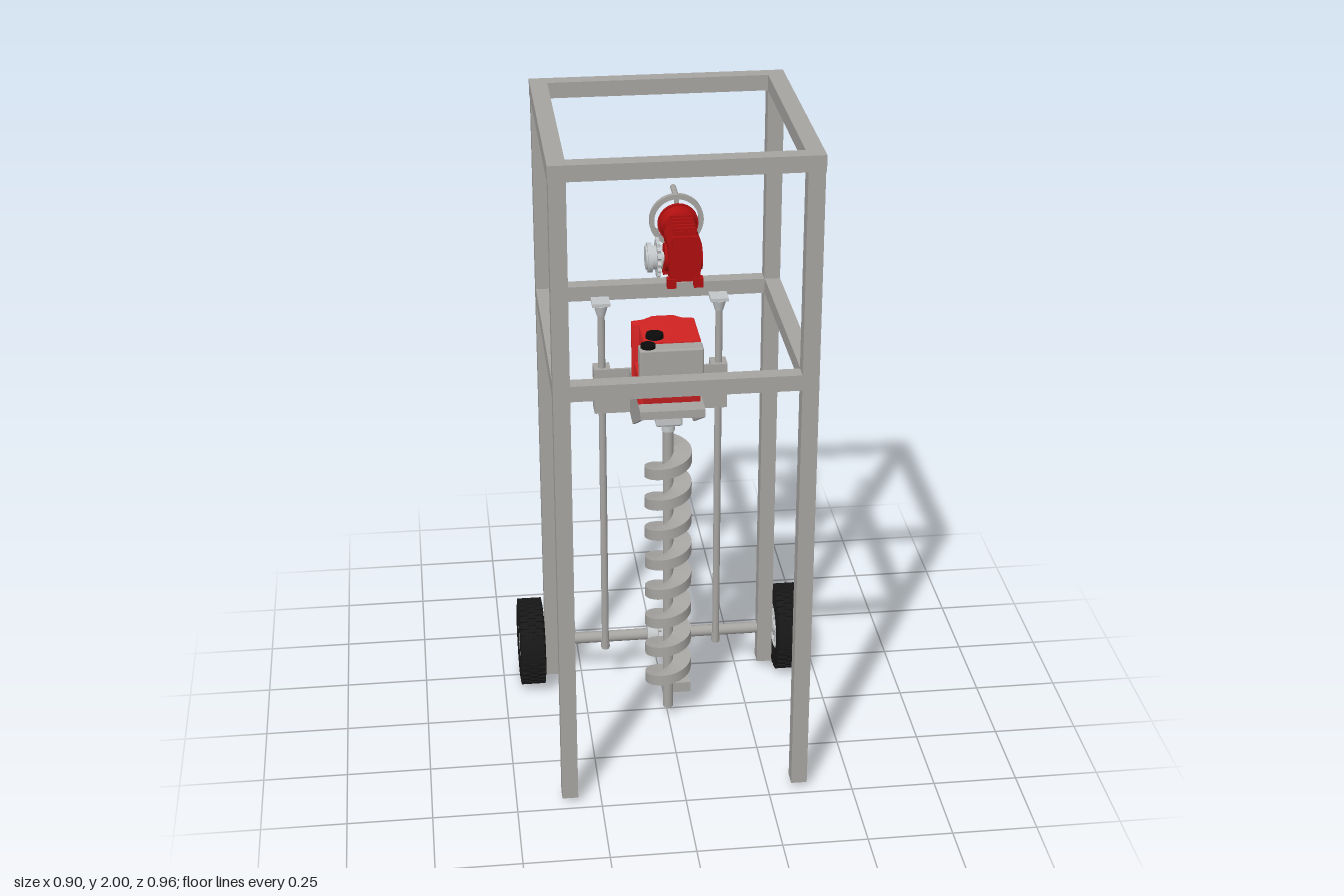
import * as THREE from 'three';
import { toCreasedNormals } from 'three/addons/utils/BufferGeometryUtils.js';
import { RoundedBoxGeometry } from 'three/addons/geometries/RoundedBoxGeometry.js';

const mat = (name, color, side = THREE.FrontSide) => {
  const m = new THREE.MeshStandardMaterial({ color, side });
  m.name = name;
  return m;
};

export function createModel() {
  const steel = mat('steel', 0xa6a4a1);
  const silver = mat('silver', 0xc3c6c8);
  const red = mat('engineRed', 0xd02222);
  const darkRed = mat('gearboxRed', 0xae0f0f);
  const rubber = mat('rubber', 0x171717);
  const black = mat('capBlack', 0x0b0b0b);
  const root = new THREE.Group();
  root.name = 'augerRig';

  const add = (name, geo, m, x = 0, y = 0, z = 0, parent = root) => {
    const mesh = new THREE.Mesh(geo, m);
    mesh.name = name;
    mesh.position.set(x, y, z);
    parent.add(mesh);
    return mesh;
  };
  // box given by its lower and upper corners
  const span = (name, m, a, b, parent = root) => add(name,
    new THREE.BoxGeometry(b[0] - a[0], b[1] - a[1], b[2] - a[2]), m,
    (a[0] + b[0]) / 2, (a[1] + b[1]) / 2, (a[2] + b[2]) / 2, parent);
  // cylinder along a chosen axis
  const rod = (name, m, axis, r, len, x, y, z, parent = root, r2 = r, seg = 24) => {
    const g = new THREE.CylinderGeometry(r2, r, len, seg);
    if (axis === 'x') g.rotateZ(-Math.PI / 2);
    if (axis === 'z') g.rotateX(Math.PI / 2);
    return add(name, g, m, x, y, z, parent);
  };
  const poly = (pts) => new THREE.Shape(pts.map(([x, y]) => new THREE.Vector2(x, y)));
  const group = (name, x = 0, y = 0, z = 0) => {
    const g = new THREE.Group();
    g.name = name;
    g.position.set(x, y, z);
    root.add(g);
    return g;
  };

  // Frame: hollow legs and two rings of beams
  const frame = group('frame');
  const square = (h) => [[-h, -h], [h, -h], [h, h], [-h, h]];
  const legShape = poly(square(0.0235));
  legShape.holes.push(poly(square(0.019).reverse()));
  const legGeo = new THREE.ExtrudeGeometry(legShape, { depth: 1.935, bevelEnabled: false }).rotateX(-Math.PI / 2);
  for (const x of [-0.3425, 0.3425])
    for (const z of [-0.2315, 0.4525]) add('leg', legGeo, steel, x, 0.02, z, frame);
  for (const z of [-0.255, 0.43]) {
    span('topCrossBeam', steel, [-0.368, 1.954, z], [0.368, 2, z + 0.046], frame);
    span('middleCrossBeam', steel, [-0.319, 1.32, z], [0.319, 1.366, z + 0.046], frame);
  }
  for (const x of [-0.343, 0.343]) {
    span('topSideBeam', steel, [x - 0.025, 1.954, -0.209], [x + 0.025, 2, 0.43], frame);
    span('middleSideBeam', steel, [x - 0.023, 1.32, -0.208], [x + 0.023, 1.366, 0.43], frame);
    // push handle behind the leg
    for (const y of [1.326, 1.494]) span('handleArm', steel, [x - 0.007, y - 0.006, -0.343], [x + 0.007, y + 0.006, -0.254], frame);
    span('handleGrip', steel, [x - 0.007, 1.32, -0.355], [x + 0.007, 1.5, -0.343], frame);
  }

  // Toothed sprocket with a hub, axis along x
  const sprocket = (name, y, z, r) => {
    const g = group(name, 0, y, z);
    const pts = [];
    for (let i = 0; i < 64; i++) {
      const a = (i / 64) * Math.PI * 2, q = r * (i % 4 < 2 ? 1 : 0.86);
      pts.push([Math.cos(a) * q, Math.sin(a) * q]);
    }
    const geo = new THREE.ExtrudeGeometry(poly(pts), { depth: 0.01, bevelEnabled: false });
    add('teeth', geo.translate(0, 0, -0.005).rotateY(Math.PI / 2), silver, 0, 0, 0, g);
    rod('hub', silver, 'x', r * 0.6, 0.05, -0.012, 0, 0, g);
    return g;
  };

  // Axle and wheels
  rod('axle', steel, 'x', 0.018, 0.74, 0, 0.137, -0.23);
  sprocket('axleSprocket', 0.137, -0.23, 0.06);
  const tyreGeo = toCreasedNormals(new THREE.LatheGeometry([
    [0.07, -0.033], [0.085, -0.04], [0.118, -0.04], [0.129, -0.034], [0.132, -0.02],
    [0.132, 0.02], [0.129, 0.034], [0.118, 0.04], [0.085, 0.04], [0.07, 0.033], [0.07, -0.033],
  ].map(([r, y]) => new THREE.Vector2(r, y)), 48).rotateZ(-Math.PI / 2), 0.6);
  const treadGeo = new THREE.BoxGeometry(0.025, 0.012, 0.011);
  for (const s of [-1, 1]) {
    const w = group(s > 0 ? 'leftWheel' : 'rightWheel', s * 0.41, 0.137, -0.23);
    add('tyre', tyreGeo, rubber, 0, 0, 0, w);
    for (let i = 0; i < 36; i++)
      for (let row = 0; row < 3; row++) {
        const a = ((i + (row % 2) / 2) / 36) * Math.PI * 2;
        const t = add('tread', treadGeo, rubber, (row - 1) * 0.025, Math.cos(a) * 0.131, Math.sin(a) * 0.131, w);
        t.rotation.x = a;
      }
    rod('rimDish', steel, 'x', 0.07, 0.04, 0, 0, 0, w, 0.07, 40);
    rod('hub', silver, 'x', 0.02, 0.076, 0, 0, 0, w);
    for (const side of [-1, 1]) {
      const ring = add('rimRing', new THREE.TorusGeometry(0.067, 0.006, 8, 40), silver, side * 0.03, 0, 0, w);
      ring.rotation.y = Math.PI / 2;
      for (let i = 0; i < 12; i++) {
        const a = (i / 12) * Math.PI * 2;
        const sp = add('spoke', new THREE.BoxGeometry(0.012, 0.05, 0.009), silver,
          side * 0.026, Math.cos(a) * 0.042, Math.sin(a) * 0.042, w);
        sp.rotation.x = a + 0.25;
      }
    }
  }

  // Guide rods with end brackets and sliding clamps
  for (const x of [-0.177, 0.177]) {
    rod('guideRod', steel, 'y', 0.011, 1.19, x, 0.727, -0.168);
    rod('rodFoot', steel, 'y', 0.014, 0.03, x, 0.15, -0.172);
    span('rodBracket', silver, [x - 0.027, 1.322, -0.212], [x + 0.027, 1.332, -0.152]);
    rod('rodSocket', silver, 'y', 0.012, 0.035, x, 1.305, -0.17, root, 0.022);
    for (const y of [0.975, 1.075])
      span('clamp', steel, [x - 0.025, y, -0.2], [x + 0.025, y + 0.045, -0.148]);
  }

  // Carriage: cross plates, top plate and tapered side gussets
  const carriage = group('carriage');
  for (const y of [0.975, 1.075])
    span('crossPlate', steel, [-0.2, y, -0.155], [0.2, y + 0.045, -0.147], carriage);
  const deck = poly([[-0.095, -0.155], [0.095, -0.155], [0.095, 0.15], [0.055, 0.15],
    [0.055, 0.1], [-0.055, 0.1], [-0.055, 0.15], [-0.095, 0.15]]);
  add('deck', new THREE.ExtrudeGeometry(deck, { depth: 0.012, bevelEnabled: false }).rotateX(-Math.PI / 2),
    steel, 0, 1.108, 0, carriage);
  span('deckLip', steel, [-0.095, 1.095, 0.147], [0.095, 1.11, 0.155], carriage);
  const gusset = poly([[-0.155, 1.095], [0.065, 0.975], [0.15, 0.975], [0.15, 1.115], [-0.155, 1.115]]);
  const gussetGeo = new THREE.ExtrudeGeometry(gusset, { depth: 0.008, bevelEnabled: false }).rotateY(Math.PI / 2);
  for (const x of [-0.095, 0.087]) add('gusset', gussetGeo, steel, x, 0, 0, carriage);

  // Engine: red cover narrowing downward, side tank and caps
  const engine = group('engine');
  const coverShape = poly([[-0.1, 0.05], [-0.1, 0.028], [-0.08, 0.018], [-0.08, -0.11], [0.087, -0.11],
    [0.087, 0.052], [0.052, 0.06], [0.028, 0.08], [-0.035, 0.08], [-0.065, 0.057]]);
  const cover = new THREE.ExtrudeGeometry(coverShape, {
    depth: 0.192, bevelThickness: 0.004, bevelSize: 0.003, bevelOffset: -0.003, bevelSegments: 2,
  }).rotateX(-Math.PI / 2).translate(0, 1.124, 0);
  const p = cover.attributes.position;
  for (let i = 0; i < p.count; i++) {
    const k = (1.32 - p.getY(i)) / 0.2, z = p.getZ(i);
    p.setZ(i, z < 0 ? z * (1 - 0.4 * k) : z * (1 - 0.06 * k));
  }
  add('engineCover', toCreasedNormals(cover, 0.5), red, 0, 0, 0, engine);
  span('engineBase', red, [-0.095, 1.12, 0], [0.085, 1.21, 0.1], engine);
  add('sideTank', new RoundedBoxGeometry(0.185, 0.108, 0.05, 2, 0.006), steel, -0.004, 1.265, 0.141, engine);
  rod('fuelCap', black, 'y', 0.027, 0.014, -0.044, 1.325, 0.074, engine, 0.025);
  rod('tankCap', black, 'y', 0.022, 0.012, -0.07, 1.323, 0.14, engine, 0.021);

  // Drive coupling and auger
  const auger = group('auger', 0, 0, 0.035);
  rod('couplingFlange', silver, 'y', 0.05, 0.02, 0, 1.098, 0, auger);
  add('coupling', new RoundedBoxGeometry(0.08, 0.065, 0.07, 2, 0.008), silver, 0, 1.058, 0, auger);
  rod('collar', silver, 'y', 0.02, 0.03, 0, 1.015, 0, auger);
  rod('shaft', steel, 'y', 0.016, 0.99, 0, 0.53, 0, auger);
  const turns = 8.25, steps = 264, pos = [], idx = [];
  const section = [[0.012, -0.017], [0.071, -0.017], [0.071, 0.017], [0.012, 0.017]];
  for (let i = 0; i <= steps; i++) {
    const a = (i / steps) * turns * Math.PI * 2, h = 0.097 + (i / steps) * 0.845;
    for (const [r, y] of section) pos.push(Math.cos(a) * r, h + y, -Math.sin(a) * r);
    if (i < steps)
      for (let j = 0; j < 4; j++) {
        const b = i * 4 + j, c = i * 4 + ((j + 1) % 4);
        idx.push(b, b + 4, c, c, b + 4, c + 4);
      }
  }
  const e = steps * 4;
  idx.push(0, 1, 2, 0, 2, 3, e, e + 2, e + 1, e, e + 3, e + 2);
  const flight = new THREE.BufferGeometry();
  flight.setAttribute('position', new THREE.Float32BufferAttribute(pos, 3));
  flight.setIndex(idx);
  const flightMat = mat('augerSteel', 0xa6a4a1, THREE.DoubleSide);
  add('flight', toCreasedNormals(flight, 0.6), flightMat, 0, 0, 0, auger);

  // Winch gearbox with cooling ribs and bell flange
  const winch = group('winchGearbox', 0.075, 0, 0);
  const caseShape = poly([[-0.045, 1.385], [0.045, 1.385], [0.05, 1.5], [0.03, 1.545], [-0.03, 1.545], [-0.05, 1.5]]);
  add('gearCase', new THREE.ExtrudeGeometry(caseShape, { depth: 0.12, bevelEnabled: false }), darkRed, 0, 0, -0.29, winch);
  for (let i = 0; i < 5; i++)
    span('rib', darkRed, [-0.034, 1.4, -0.285 + i * 0.026], [0.034, 1.553, -0.277 + i * 0.026], winch);
  for (const x of [-0.04, 0.04]) for (const z of [-0.29, -0.18])
    span('mountFoot', darkRed, [x - 0.014, 1.366, z - 0.012], [x + 0.014, 1.395, z + 0.016], winch);
  span('frontCover', darkRed, [-0.04, 1.4, -0.17], [0.04, 1.53, -0.16], winch);
  rod('neck', darkRed, 'z', 0.045, 0.04, 0, 1.5, -0.305, winch);
  rod('bell', darkRed, 'z', 0.058, 0.025, 0, 1.5, -0.335, winch, 0.045);
  rod('bellFlange', darkRed, 'z', 0.062, 0.01, 0, 1.5, -0.351, winch);
  rod('outputBoss', darkRed, 'x', 0.042, 0.112, 0, 1.44, -0.235, winch);
  rod('outputSeal', black, 'x', 0.027, 0.008, 0.054, 1.44, -0.235, winch);
  rod('outputShaft', silver, 'x', 0.014, 0.13, -0.045, 1.44, -0.235, winch);
  sprocket('winchSprocket', 1.44, -0.235, 0.06);
  rod('sprocketFlange', silver, 'x', 0.045, 0.014, -0.1, 1.44, -0.235, winch);

  // Hand wheel with spokes and crank grip
  const wheel = group('handWheel', 0.075, 1.495, -0.393);
  const rim = new THREE.Shape().absarc(0, 0, 0.083, 0, Math.PI * 2);
  rim.holes.push(new THREE.Path().absarc(0, 0, 0.068, 0, Math.PI * 2, true));
  const rimGeo = new THREE.ExtrudeGeometry(rim, { depth: 0.016, bevelEnabled: false, curveSegments: 40 });
  add('wheelRim', toCreasedNormals(rimGeo, 0.5), steel, 0, 0, -0.008, wheel);
  rod('wheelHub', steel, 'z', 0.02, 0.055, 0, 0, 0.018, wheel);
  for (let i = 0; i < 3; i++) {
    const a = (i / 3) * Math.PI * 2;
    const sp = add('wheelSpoke', new THREE.BoxGeometry(0.014, 0.062, 0.009), steel,
      -Math.sin(a) * 0.042, Math.cos(a) * 0.042, 0, wheel);
    sp.rotation.z = a;
  }
  rod('crankGrip', steel, 'z', 0.009, 0.087, 0, 0.073, -0.0435, wheel);
  return root;
}
